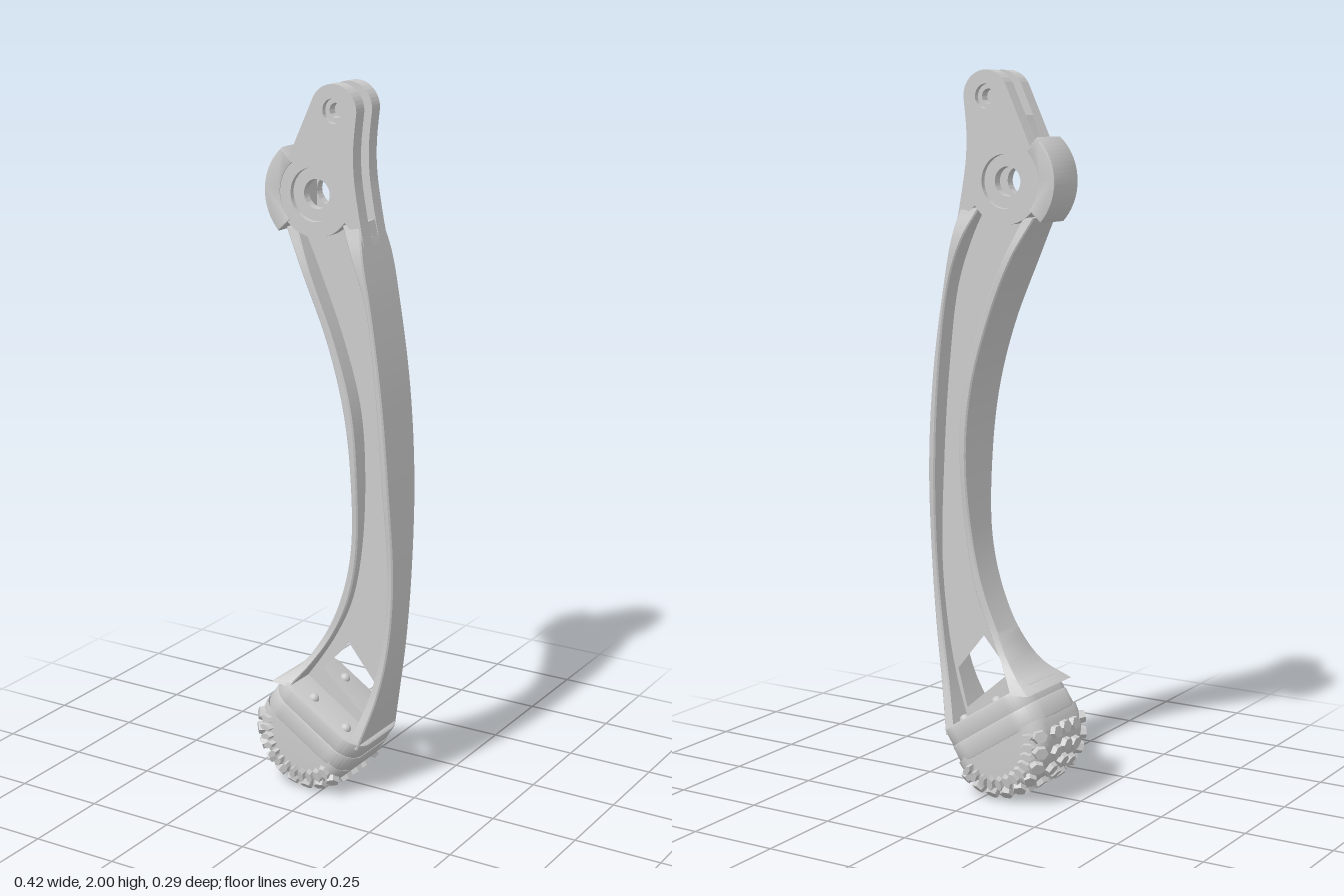
import * as THREE from 'three';
import { toCreasedNormals } from 'three/addons/utils/BufferGeometryUtils.js';

const material = new THREE.MeshStandardMaterial({ color: 0xcccccc });
const lugMaterial = new THREE.MeshStandardMaterial({ color: 0xcccccc, flatShading: true });
const rad = THREE.MathUtils.degToRad;
const PIVOT = [-0.04, 1.705], PIN = [0.02, 1.93];

function add(parent, name, geometry, mat = material) {
  const mesh = new THREE.Mesh(geometry, mat);
  mesh.name = name;
  parent.add(mesh);
  return mesh;
}

// Extrude a shape from z0 to z1, with an optional rounded edge kept inside that range
function slab(shape, z0, z1, bevel = 0, bevelSegments = 2) {
  const g = new THREE.ExtrudeGeometry(shape, {
    depth: z1 - z0 - 2 * bevel, curveSegments: 32, bevelEnabled: bevel > 0,
    bevelSize: bevel, bevelThickness: bevel, bevelSegments,
  });
  g.translate(0, 0, z0 + bevel);
  return toCreasedNormals(g, rad(32));
}

// Flange stations: right edge x, y, left edge x, y, half thickness
const outerStations = [
  [0.1, 1.64, 0.045, 1.63, 0.058], [0.12, 1.55, 0.085, 1.55, 0.08], [0.145, 1.42, 0.13, 1.42, 0.082],
  [0.18, 1.18, 0.162, 1.18, 0.082], [0.2, 0.92, 0.18, 0.92, 0.075], [0.205, 0.65, 0.187, 0.65, 0.055],
  [0.19, 0.45, 0.168, 0.45, 0.055], [0.165, 0.31, 0.14, 0.31, 0.07], [0.125, 0.16, 0.1, 0.18, 0.11],
];
const innerStations = [
  [-0.095, 1.61, -0.13, 1.61, 0.058], [-0.045, 1.5, -0.07, 1.5, 0.08], [0.033, 1.31, 0.01, 1.31, 0.08],
  [0.085, 1.13, 0.06, 1.13, 0.08], [0.1, 0.94, 0.08, 0.94, 0.074], [0.09, 0.72, 0.07, 0.72, 0.056],
  [0.06, 0.57, 0.035, 0.57, 0.054], [0.01, 0.46, -0.02, 0.45, 0.058], [-0.04, 0.38, -0.08, 0.365, 0.08],
  [-0.09, 0.31, -0.15, 0.315, 0.12],
];

// Smooth samples along both edges of a flange
function sample(stations, n = 64) {
  const right = new THREE.CatmullRomCurve3(stations.map((s) => new THREE.Vector3(s[0], s[1], s[4])));
  const left = new THREE.CatmullRomCurve3(stations.map((s) => new THREE.Vector3(s[2], s[3], s[4])));
  return Array.from({ length: n + 1 }, (_, i) => [right.getPoint(i / n), left.getPoint(i / n)]);
}

// Loft a chamfered rectangle along the flange
function flange(samples) {
  const pos = [], index = [], k = 8;
  for (const [a, b] of samples) {
    const e = 0.004, u = e / a.distanceTo(b), z = a.z;
    const corner = (t, zz) => pos.push(a.x + (b.x - a.x) * t, a.y + (b.y - a.y) * t, zz);
    corner(u, -z); corner(0, -z + e); corner(0, z - e); corner(u, z);
    corner(1 - u, z); corner(1, z - e); corner(1, -z + e); corner(1 - u, -z);
  }
  const last = (samples.length - 1) * k;
  for (let i = 0; i < last; i += k) {
    for (let j = 0; j < k; j++) {
      const p = i + j, q = i + (j + 1) % k;
      index.push(p, q, q + k, p, q + k, p + k);
    }
  }
  for (let j = 1; j < k - 1; j++) index.push(0, j + 1, j, last, last + j, last + j + 1);
  const g = new THREE.BufferGeometry();
  g.setAttribute('position', new THREE.Float32BufferAttribute(pos, 3));
  g.setIndex(index);
  return toCreasedNormals(g, rad(32));
}

// Head outline with a pivot hole and a pin hole
function headShape(pivotRadius, pinRadius) {
  const s = new THREE.Shape();
  s.moveTo(0.115, 1.58);
  s.splineThru([[0.097, 1.67], [0.083, 1.76], [0.081, 1.84], [0.09, 1.93]].map((p) => new THREE.Vector2(...p)));
  s.absarc(...PIN, 0.07, 0, rad(152));
  s.absarc(...PIVOT, 0.115, rad(140), rad(325));
  s.closePath();
  for (const [c, r] of [[PIVOT, pivotRadius], [PIN, pinRadius]]) {
    s.holes.push(new THREE.Path().absarc(...c, r, 0, Math.PI * 2, true));
  }
  return s;
}

function buildHead() {
  const head = new THREE.Group();
  head.name = 'forkedHead';
  // Each cheek has a thin outer layer with wider holes, forming counterbores
  for (const side of [-1, 1]) {
    const span = (a, b) => (side > 0 ? [a, b] : [-b, -a]);
    add(head, 'cheek', slab(headShape(0.04, 0.02), ...span(0.02, 0.046)));
    add(head, 'cheekFace', slab(headShape(0.073, 0.033), ...span(0.046, 0.061)));
  }
  // Middle layer closes the slot at the back and below
  const core = new THREE.Shape();
  core.moveTo(-0.08, 1.6);
  core.lineTo(-0.08, 1.88);
  core.absarc(...PIVOT, 0.115, rad(140), rad(290));
  core.lineTo(0.115, 1.58);
  core.lineTo(0.11, 1.6);
  add(head, 'slotFloor', slab(core, -0.02, 0.02));
  // Curved stop beside the pivot
  const stop = new THREE.Shape();
  stop.absarc(...PIVOT, 0.15, rad(132), rad(222), false);
  stop.absarc(...PIVOT, 0.11, rad(222), rad(132), true);
  stop.closePath();
  add(head, 'curvedStop', slab(stop, -0.064, 0.064, 0.005));
  return head;
}

function buildBeam() {
  const beam = new THREE.Group();
  beam.name = 'curvedBeam';
  const outer = sample(outerStations), inner = sample(innerStations);
  add(beam, 'outerFlange', flange(outer));
  add(beam, 'innerFlange', flange(inner));
  // Thin web between the flanges, with a four-sided window
  const mid = ([a, b]) => new THREE.Vector2((a.x + b.x) / 2, (a.y + b.y) / 2);
  const web = new THREE.Shape([...outer.map(mid), ...inner.map(mid).reverse()]);
  const win = [[0.05, 0.44], [0.135, 0.335], [0.105, 0.225], [-0.035, 0.345]];
  web.holes.push(new THREE.Path(win.map((p) => new THREE.Vector2(...p))));
  add(beam, 'web', slab(web, -0.025, 0.025));
  return beam;
}

function buildFoot() {
  const foot = new THREE.Group();
  foot.name = 'foot';
  foot.position.set(-0.04, 0.175, 0);
  foot.rotation.z = rad(-33);
  // Half-round sole with rounded edges
  const half = new THREE.Shape();
  half.moveTo(0.107, -0.02);
  half.lineTo(-0.107, -0.02);
  half.absarc(0, 0, 0.107, Math.PI, Math.PI * 2);
  add(foot, 'sole', slab(half, -0.13, 0.13, 0.05, 6));
  // Rounded mounting plates
  const plate = (name, w, d, r, y0, y1) => {
    const s = new THREE.Shape();
    s.absarc(w - r, d - r, r, 0, Math.PI / 2);
    s.absarc(r - w, d - r, r, Math.PI / 2, Math.PI);
    s.absarc(r - w, r - d, r, Math.PI, Math.PI * 1.5);
    s.absarc(w - r, r - d, r, Math.PI * 1.5, Math.PI * 2);
    const g = slab(s, y0, y1, 0.006);
    g.rotateX(-Math.PI / 2);
    add(foot, name, g);
  };
  plate('solePlate', 0.153, 0.126, 0.065, -0.015, 0.042);
  plate('mountingPlate', 0.15, 0.123, 0.06, 0.036, 0.092);
  for (const x of [-0.047, 0.078]) {
    for (const z of [-0.085, 0.085]) {
      const bolt = add(foot, 'bolt', new THREE.SphereGeometry(0.015, 16, 8, 0, Math.PI * 2, 0, Math.PI / 2));
      bolt.position.set(x, 0.09, z);
    }
  }
  // Tread rows: flat centre z, edge angle, count, width along and across the row
  const lugGeometry = new THREE.CylinderGeometry(0.85, 1, 1, 6);
  const rows = [[0, 0, 9, 0.021, 0.026], [0.05, 0, 8, 0.021, 0.026], [0.08, 40, 9, 0.02, 0.024], [0.08, 78, 12, 0.011, 0.022]];
  for (const [z, phi, count, along, across] of rows) {
    const c = Math.cos(rad(phi)), s = Math.sin(rad(phi));
    for (const side of z === 0 ? [1] : [-1, 1]) {
      for (let i = 0; i < count; i++) {
        const ring = new THREE.Group();
        ring.name = 'treadLug';
        ring.rotation.z = rad(192 + (156 * (i + 0.5)) / count);
        const lug = add(ring, 'lug', lugGeometry, lugMaterial);
        const normal = new THREE.Vector3(c, 0, s * side), tangent = new THREE.Vector3(0, 1, 0);
        const basis = new THREE.Matrix4().makeBasis(tangent, normal, tangent.clone().cross(normal));
        lug.quaternion.setFromRotationMatrix(basis);
        lug.position.set(0.107 + 0.054 * c, 0, (z + 0.054 * s) * side);
        lug.scale.set(along, 0.02, across);
        foot.add(ring);
      }
    }
  }
  return foot;
}

export function createModel() {
  const model = new THREE.Group();
  model.name = 'curvedLeg';
  model.add(buildHead(), buildBeam(), buildFoot());
  return model;
}
